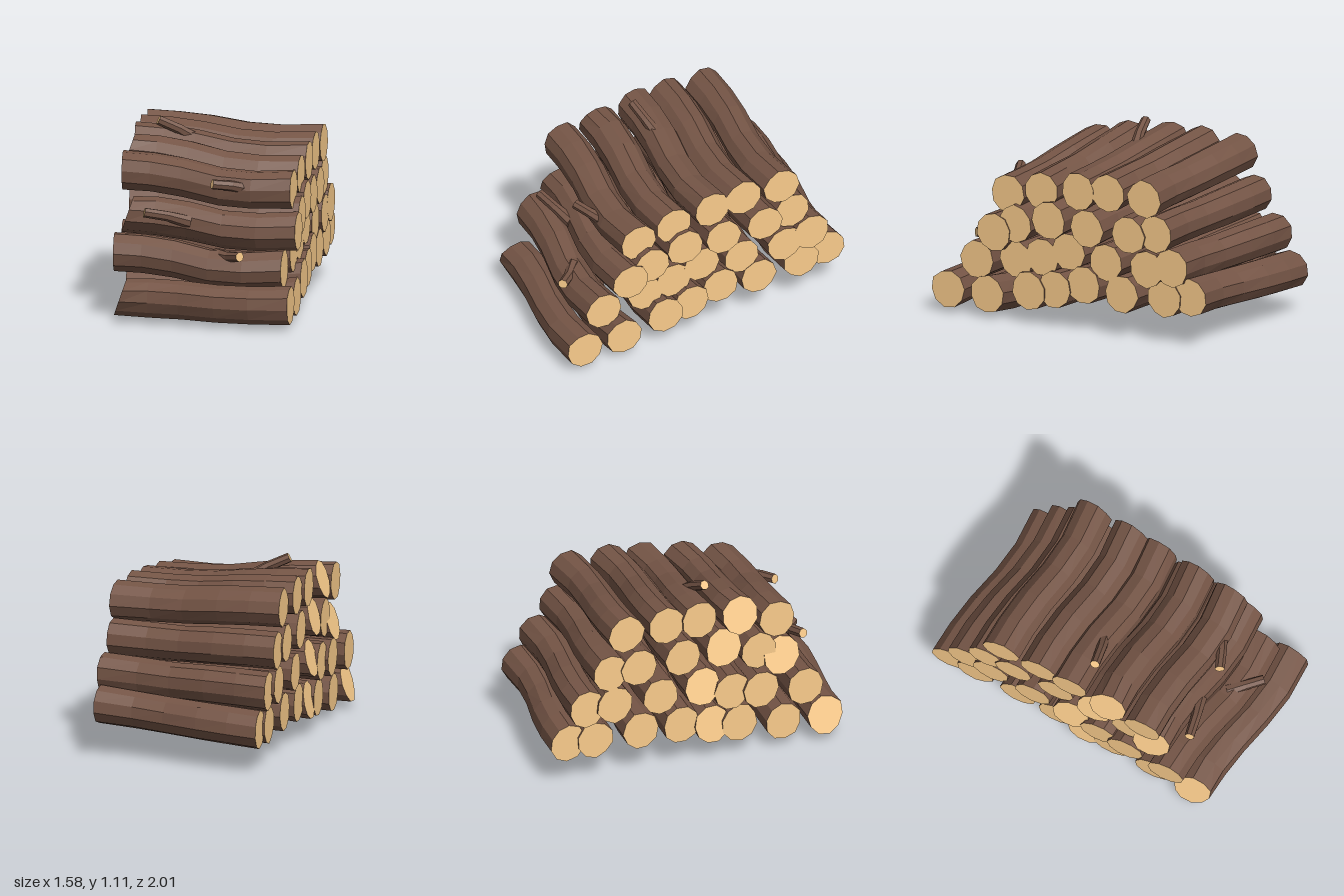
import * as THREE from 'three';

const SIDES = 10;
const bark = new THREE.MeshStandardMaterial({ color: 0x755546, flatShading: true });
const wood = new THREE.MeshStandardMaterial({ color: 0xfacc8c, flatShading: true });

// Rows from the bottom up. xRight and xLeft give the log ends as [offset, slope over z];
// each log is: right end z, right end y, left end y, lean of left cut
const ROWS = [
  { xRight: [0.555, 0.305], xLeft: [-0.476, 0.302], shift: 0.2, sag: 0.8, logs: [
    [0.70, 0.148, 0.15, 0.35], [0.44, 0.15, 0.155, 0], [0.17, 0.21, 0.20, 0], [0.00, 0.24, 0.22, 0.2],
    [-0.19, 0.29, 0.25, 0], [-0.44, 0.27, 0.26, 0], [-0.72, 0.28, 0.25, 0], [-0.89, 0.31, 0.26, 0]] },
  { xRight: [0.525, 0.243], xLeft: [-0.516, 0.269], shift: 0.21, sag: 0.9, logs: [
    [0.56, 0.34, 0.395, 0], [0.29, 0.38, 0.42, 0], [0.11, 0.42, 0.44, 0], [-0.07, 0.48, 0.50, 0.3],
    [-0.33, 0.45, 0.48, 0], [-0.61, 0.45, 0.47, 0], [-0.78, 0.48, 0.47, 0]] },
  { xRight: [0.555, 0.31], xLeft: [-0.477, 0.33], shift: 0.23, sag: 0.8, logs: [
    [0.40, 0.54, 0.60, 0.35], [0.26, 0.61, 0.655, 0], [0.04, 0.66, 0.72, 0.3], [-0.21, 0.64, 0.70, 0],
    [-0.48, 0.64, 0.69, 0], [-0.66, 0.67, 0.69, 0]] },
  { xRight: [0.53, 0.258], xLeft: [-0.49, 0.296], shift: 0.26, sag: 0.8, logs: [
    [0.34, 0.78, 0.86, 0], [0.11, 0.83, 0.93, 0.35], [-0.14, 0.86, 0.94, 0], [-0.34, 0.88, 0.94, 0],
    [-0.59, 0.88, 0.93, 0]] },
];

// Rings along a log: position, sag in y, bow in z, yaw, radius
const RINGS = [
  [0, 0, 0, 0.37, 0.117], [0.17, 0.005, -0.008, 0.28, 0.116], [0.36, -0.005, 0.0, 0.2, 0.115],
  [0.58, -0.035, 0.025, 0.18, 0.112], [0.78, -0.03, 0.03, 0.22, 0.113], [1, 0, 0, 0.24, 0.116],
];

let seed = 7;
const rand = () => (seed = (seed * 16807) % 2147483647) / 2147483647;

function meshFrom(name, positions, index, material) {
  const geo = new THREE.BufferGeometry();
  geo.setAttribute('position', new THREE.Float32BufferAttribute(positions, 3));
  geo.setIndex(index);
  geo.computeVertexNormals();
  const mesh = new THREE.Mesh(geo, material);
  mesh.name = name;
  return mesh;
}

// Bent log with a flat cut at each end
function makeLog(right, left, lean, sag) {
  const pos = [], sideIndex = [], cutIndex = [];
  const ridges = Array.from({ length: SIDES }, () => 0.96 + 0.08 * rand());
  const turn = rand() * 0.6;
  RINGS.forEach(([t, dy, dz, yaw, r], j) => {
    const c = left.clone().lerp(right, t).add(new THREE.Vector3(0, dy * sag, dz));
    const tilt = j === 0 ? lean : 0;
    const up = new THREE.Vector3(Math.sin(tilt), Math.cos(tilt), 0);
    const across = new THREE.Vector3(Math.sin(yaw), 0, Math.cos(yaw));
    for (let i = 0; i < SIDES; i++) {
      const a = turn + (i / SIDES) * Math.PI * 2;
      const rr = r * ridges[i] * (0.985 + 0.03 * rand());
      const p = c.clone().addScaledVector(up, rr * Math.cos(a)).addScaledVector(across, rr * Math.sin(a));
      pos.push(p.x, p.y, p.z);
      if (j > 0) {
        const k = (i + 1) % SIDES, lo = (j - 1) * SIDES, hi = j * SIDES;
        sideIndex.push(lo + i, lo + k, hi + i, lo + k, hi + k, hi + i);
      }
    }
  });
  const last = (RINGS.length - 1) * SIDES;
  for (let i = 1; i < SIDES - 1; i++) {
    cutIndex.push(0, i + 1, i, last, last + i, last + i + 1);
  }
  const log = new THREE.Group();
  log.name = 'log';
  log.add(meshFrom('bark', pos, sideIndex, bark), meshFrom('cutEnds', pos, cutIndex, wood));
  return log;
}

// Short branch stub, slightly bent, pointing from base to tip
function makeTwig(base, tip) {
  const dir = tip.clone().sub(base);
  const geo = new THREE.CylinderGeometry(0.03, 0.04, dir.length(), 7, 2);
  const p = geo.attributes.position;
  for (let i = 0; i < p.count; i++) {
    if (Math.abs(p.getY(i)) < 0.01) p.setXYZ(i, p.getX(i) * 0.9 + 0.01, p.getY(i), p.getZ(i) * 0.9);
  }
  const twig = new THREE.Mesh(geo, [bark, wood, bark]);
  twig.name = 'twig';
  twig.position.copy(base).add(tip).multiplyScalar(0.5);
  twig.quaternion.setFromUnitVectors(new THREE.Vector3(0, 1, 0), dir.normalize());
  return twig;
}

export function createModel() {
  const pile = new THREE.Group();
  pile.name = 'logPile';

  // Stacked rows, skewed so the front logs sit further to the left side
  ROWS.forEach(({ xRight, xLeft, shift, sag, logs }, r) => {
    const row = new THREE.Group();
    row.name = `logRow${r + 1}`;
    logs.forEach(([z, y, yLeft, lean], i) => {
      const right = new THREE.Vector3(xRight[0] + xRight[1] * z, y, z);
      const left = new THREE.Vector3(xLeft[0] + xLeft[1] * z, yLeft, z + shift);
      // The front ground log is straight, the others sag less towards the back
      const bend = r === 0 && i === 0 ? 0.2 : r === 0 && i === 1 ? 1.2 : sag * (1 - 0.1 * i);
      row.add(makeLog(right, left, lean, bend));
    });
    pile.add(row);
  });

  // Branch stubs: base, tip
  [
    [[-0.15, 0.96, 0.04], [-0.36, 1.09, 0.165]],
    [[0.39, 0.785, 0.48], [0.22, 0.83, 0.64]],
    [[0.07, 0.585, 0.63], [-0.165, 0.65, 0.775]],
    [[0.26, 0.41, 0.66], [0.465, 0.43, 0.77]],
  ].forEach(([b, t]) => pile.add(makeTwig(new THREE.Vector3(...b), new THREE.Vector3(...t))));

  return pile;
}
